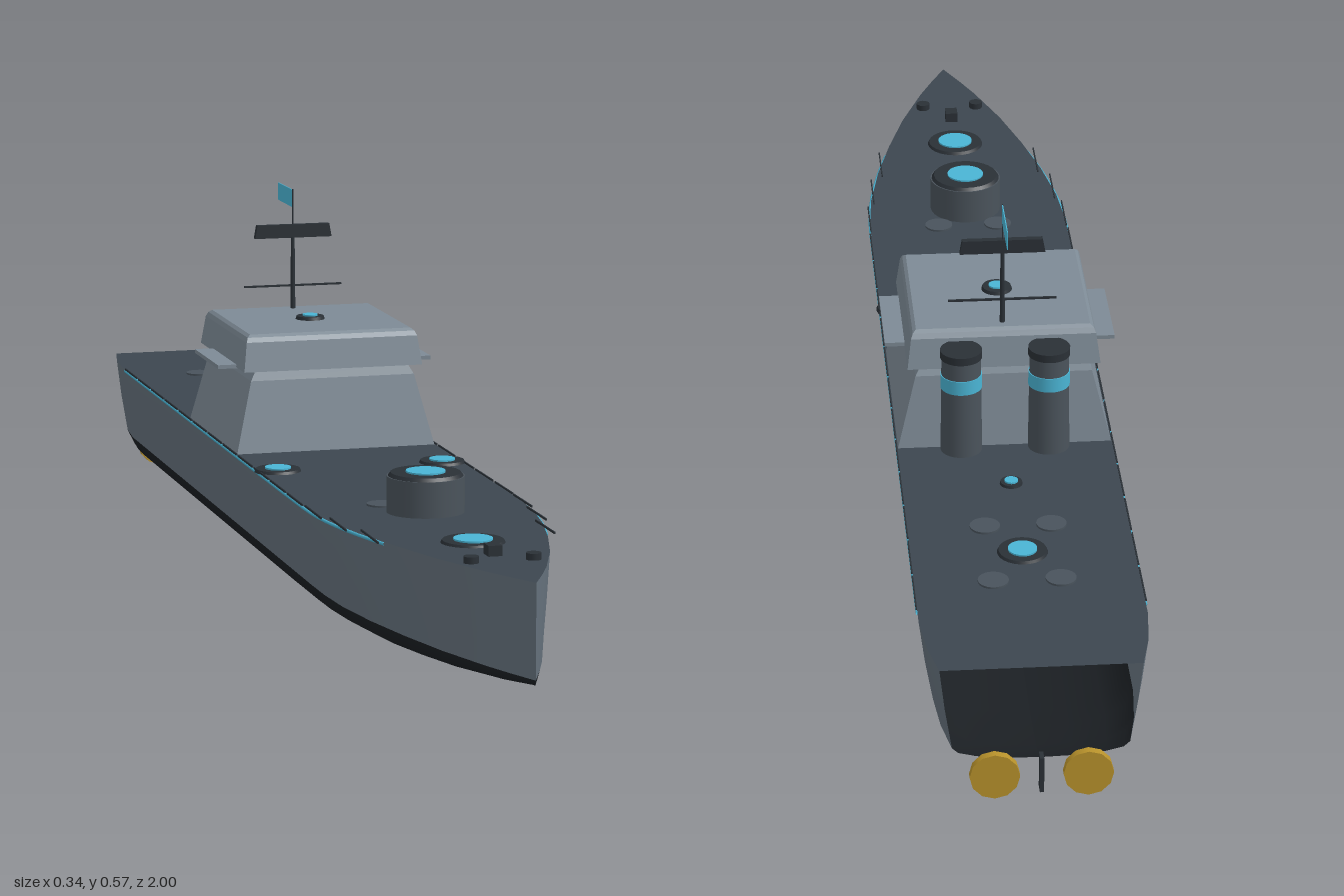
import * as THREE from 'three';

const mat = (color, side = THREE.FrontSide, flatShading = false) => {
  const m = new THREE.MeshStandardMaterial({ side, flatShading });
  m.color.set(color);
  return m;
};
const D = THREE.DoubleSide;
const M = {
  hull: mat(0x65717c, D), keel: mat(0x1b1f23, D), deck: mat(0x3c464f, D),
  house: mat(0x7d8a95, THREE.FrontSide, true), drum: mat(0x4a535b), pad: mat(0x49535c),
  dark: mat(0x2a3036), cyan: mat(0x4ab4d4, D), gold: mat(0xb8922b),
};

// piecewise linear lookup in [z, value] pairs, z falling
function lookup(table, z) {
  for (let i = 1; i < table.length; i++) {
    const [z0, v0] = table[i - 1], [z1, v1] = table[i];
    if (z >= z1) return v0 + (v1 - v0) * (z0 - z) / (z0 - z1);
  }
  return table[table.length - 1][1];
}
const BEAM = [[1, 0], [0.95, 0.024], [0.9, 0.046], [0.8, 0.083], [0.7, 0.112], [0.6, 0.136],
  [0.5, 0.153], [0.42, 0.159], [0.35, 0.16], [-0.85, 0.16], [-0.92, 0.153], [-0.98, 0.14]];
const KEEL = [[1, 0.068], [0.9, 0.053], [0.8, 0.042], [0.7, 0.034], [0.6, 0.027], [0.4, 0.02],
  [0.2, 0.017], [-0.8, 0.017], [-0.9, 0.024], [-0.95, 0.036], [-0.98, 0.055]];
const STATIONS = [1, 0.95, 0.9, 0.85, 0.8, 0.75, 0.7, 0.65, 0.6, 0.55, 0.5, 0.42, 0.35, 0.2, 0,
  -0.3, -0.6, -0.8, -0.85, -0.9, -0.92, -0.95, -0.98];
const beam = z => lookup(BEAM, z);
const deckY = z => 0.2 + 0.01 * Math.max(0, (z - 0.4) / 0.6);
const WATER = 0.075, TUCK = 0.88;

// surface through equal rows of points
function loft(rows) {
  const n = rows[0].length, index = [];
  for (let i = 0; i < rows.length - 1; i++)
    for (let j = 0; j < n - 1; j++) {
      const a = i * n + j, b = a + 1, c = b + n, d = a + n;
      index.push(a, b, c, a, c, d);
    }
  const g = new THREE.BufferGeometry();
  g.setAttribute('position', new THREE.Float32BufferAttribute(rows.flat(2), 3));
  g.setIndex(index);
  g.computeVertexNormals();
  return g;
}

// stacked rectangles [y, halfWidth, zBack, zFront], closed on top
function tower(levels) {
  const rows = levels.map(([y, w, b, f]) => [[-w, y, f], [w, y, f], [w, y, b], [-w, y, b], [-w, y, f]]);
  const [y, , b, f] = levels[levels.length - 1];
  rows.push(Array.from({ length: 5 }, () => [0, y, (b + f) / 2]));
  return loft(rows);
}

export function createModel() {
  const root = new THREE.Group();
  const add = (name, geo, material, x = 0, y = 0, z = 0) => {
    const m = new THREE.Mesh(geo, material);
    m.name = name;
    m.position.set(x, y, z);
    root.add(m);
    return m;
  };
  const box = (name, w, h, d, material, x, y, z) => add(name, new THREE.BoxGeometry(w, h, d), material, x, y, z);
  // upright cylinder standing on y
  const cyl = (name, r, h, material, x, y, z, rTop = r, seg = 28) =>
    add(name, new THREE.CylinderGeometry(rTop, r, h, seg), material, x, y + h / 2, z);

  // hull sides and bottom, open at the stern
  const bilge = [[0, 0], [0.36, 0.06], [0.72, 0.28], [0.93, 0.6], [1, 1]];
  for (const s of [1, -1]) {
    const zs = s > 0 ? STATIONS : [...STATIONS].reverse();
    const side = s > 0 ? 'left' : 'right';
    add(side + 'HullSide', loft([0, 0.5, 1].map(t => zs.map(z => [
      s * beam(z) * (TUCK + (1 - TUCK) * (t + 0.3 * t * (1 - t))),
      WATER + (deckY(z) - WATER) * t, z]))), M.hull);
    add(side + 'HullBottom', loft(bilge.map(([fx, fy]) => zs.map(z => {
      const k = lookup(KEEL, z);
      return [s * beam(z) * TUCK * fx, k + (WATER - k) * fy, z];
    }))), M.keel);
  }
  add('deck', loft(STATIONS.map(z => [-1, 0, 1].map(s => [s * beam(z), deckY(z), z]))), M.deck);

  // deck edge stripe and rail segments
  for (const s of [1, -1]) {
    const pts = [0.67, 0.6, 0.5, 0.42, 0.3, 0, -0.4, -0.82].map(z => new THREE.Vector3(s * beam(z), deckY(z) - 0.003, z));
    add('edgeStripe', new THREE.TubeGeometry(new THREE.CatmullRomCurve3(pts), 40, 0.0025, 5), M.cyan);
    for (let z = 0.63; z > -0.82; z -= 0.1)
      box('railSegment', 0.002, 0.003, 0.09, M.dark, s * (beam(z) + 0.001), deckY(z) + 0.001, z);
  }

  // deckhouse, bridge and bridge wings
  add('deckhouse', tower([[0.195, 0.16, -0.347, -0.03], [0.31, 0.131, -0.328, -0.052], [0.326, 0.122, -0.32, -0.058]]), M.house);
  add('bridge', tower([[0.325, 0, -0.19, -0.19], [0.325, 0.143, -0.335, -0.046], [0.37, 0.137, -0.325, -0.055],
    [0.377, 0.134, -0.32, -0.06], [0.381, 0.129, -0.314, -0.066]]), M.house);
  for (const s of [1, -1]) box('bridgeWing', 0.06, 0.006, 0.155, M.house, s * 0.142, 0.326, -0.177);

  // round fitting with a bright centre
  const fitting = (name, x, y, z, r, rc, h = 0.005) => {
    cyl(name, r, h, M.dark, x, y, z, r * 0.93);
    cyl(name + 'Centre', rc, 0.003, M.cyan, x, y + h - 0.0005, z);
  };
  fitting('roofFitting', 0, 0.381, -0.19, 0.023, 0.012, 0.005);
  fitting('bowPad', 0, 0.203, 0.705, 0.047, 0.028, 0.006);
  for (const s of [1, -1]) fitting('sidePad', s * 0.13, 0.199, 0.11, 0.036, 0.02);
  fitting('aftPad', 0, 0.199, -0.665, 0.037, 0.021);
  fitting('smallAftPad', 0, 0.199, -0.465, 0.017, 0.01);
  for (const s of [1, -1]) for (const z of [0.4, -0.59, -0.745])
    cyl('hatch', 0.022, 0.004, M.pad, s * 0.048, 0.199, z);

  // forward drum
  cyl('drum', 0.057, 0.056, M.drum, 0, 0.199, 0.466);
  fitting('drumCap', 0, 0.255, 0.466, 0.055, 0.029, 0.005);

  // bow windlass and bollards
  box('windlass', 0.02, 0.016, 0.024, M.dark, 0, 0.214, 0.8);
  for (const s of [1, -1]) cyl('bollard', 0.011, 0.012, M.dark, s * 0.045, 0.205, 0.845, 0.011, 12);

  // funnels
  for (const s of [1, -1]) {
    const x = s * 0.065, z = -0.352;
    cyl('funnel', 0.031, 0.16, M.drum, x, 0.199, z, 0.029);
    cyl('funnelBand', 0.0308, 0.022, M.cyan, x, 0.304, z);
    cyl('funnelCap', 0.031, 0.012, M.dark, x, 0.353, z);
  }

  // mast, yard, radar, aerial and flag
  const mz = -0.298;
  cyl('mast', 0.004, 0.118, M.dark, 0, 0.378, mz, 0.003, 10);
  box('yard', 0.16, 0.003, 0.003, M.dark, 0, 0.418, mz);
  const radar = box('radar', 0.126, 0.021, 0.01, M.dark, 0, 0.506, mz);
  const p = radar.geometry.attributes.position;
  for (let i = 0; i < p.count; i++) if (p.getY(i) > 0) p.setX(i, p.getX(i) * 0.94);
  radar.geometry.computeVertexNormals();
  cyl('aerial', 0.001, 0.08, M.dark, 0, 0.493, mz, 0.001, 6);
  box('flag', 0.0015, 0.028, 0.092, M.cyan, 0, 0.558, mz - 0.046);

  // propellers and rudder
  for (const s of [1, -1]) {
    const prop = add('propeller', new THREE.CylinderGeometry(0.035, 0.035, 0.012, 12), M.gold, s * 0.065, 0.035, -0.989);
    prop.rotation.x = Math.PI / 2;
  }
  box('rudder', 0.006, 0.055, 0.018, M.dark, 0, 0.036, -0.988);
  return root;
}
